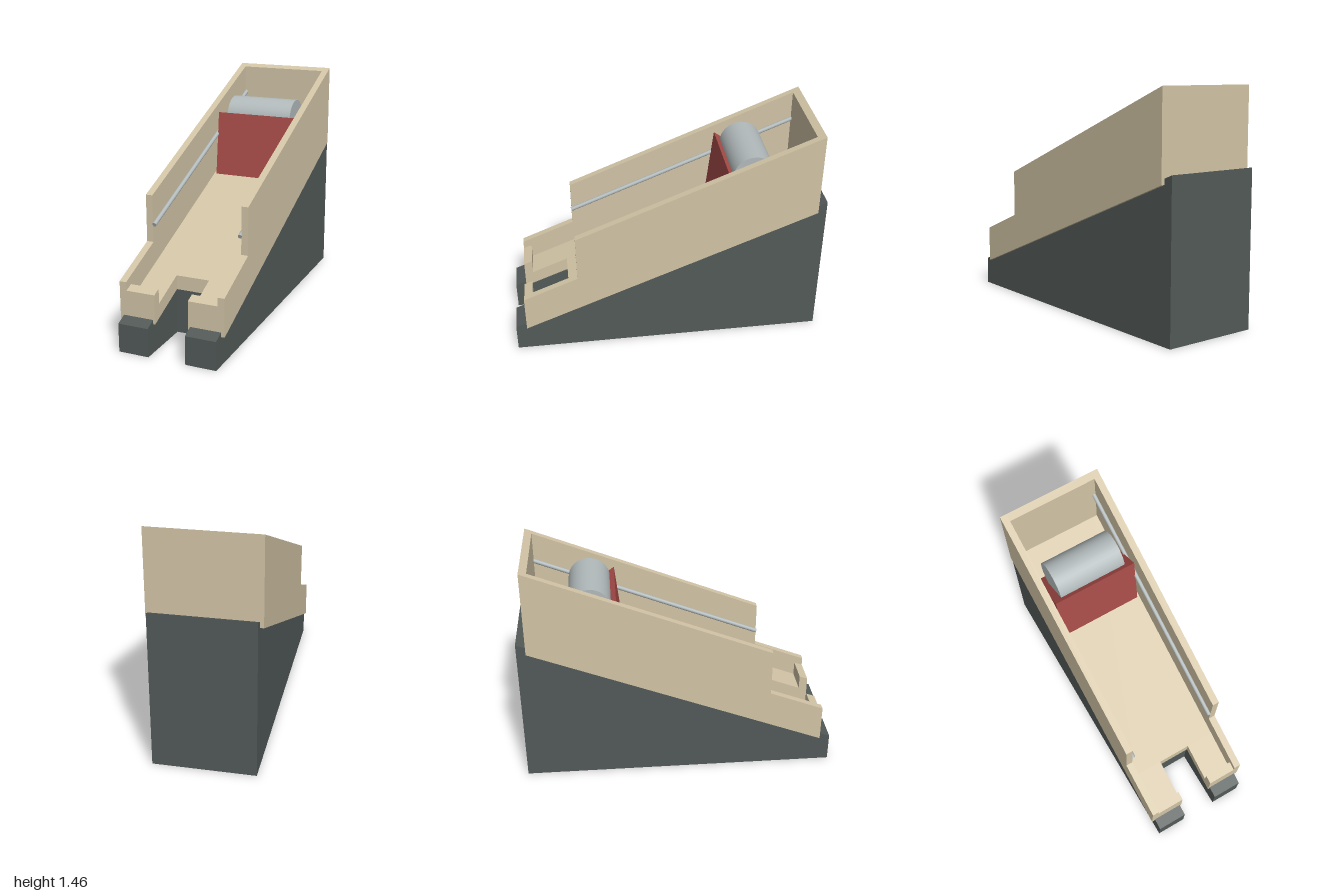
import * as THREE from 'three';

const mat = (name, color) => {
  const m = new THREE.MeshStandardMaterial({ color });
  m.name = name;
  return m;
};

export function createModel() {
  const slate = mat('slate', 0x525a58);
  const sand = mat('sand', 0xd2c4a6);
  const red = mat('red', 0xa94d49);
  const steel = mat('steel', 0xb2babb);

  const model = new THREE.Group();
  model.name = 'slopedChute';

  // Extrudes a side profile of [z, y] points across x0..x1
  function slab(parent, name, material, x0, x1, points) {
    const shape = new THREE.Shape(points.map(([z, y]) => new THREE.Vector2(z, y)));
    const geo = new THREE.ExtrudeGeometry(shape, { depth: x1 - x0, bevelEnabled: false });
    geo.rotateY(-Math.PI / 2).translate(x1, 0, 0);
    const mesh = new THREE.Mesh(geo, material);
    mesh.name = name;
    parent.add(mesh);
  }

  const group = (name) => {
    const g = new THREE.Group();
    g.name = name;
    model.add(g);
    return g;
  };

  // Heights along the slope
  const baseTop = (z) => 0.18 + 0.4 * (1 - z);
  const trayBottom = (z) => 0.18 + 0.396 * (0.93 - z);
  const floorTop = (z) => trayBottom(z) + 0.09;
  const sides = [['right', -1], ['left', 1]];
  const span = (s, a, b) => (s > 0 ? [a, b] : [-b, -a]);

  // Wedge base with a slot at the low end
  const base = group('base');
  const slotZ = 0.62;
  slab(base, 'baseWedge', slate, -0.315, 0.315,
    [[slotZ, 0], [slotZ, baseTop(slotZ)], [-1, baseTop(-1)], [-1, 0]]);
  for (const [side, s] of sides) {
    slab(base, side + 'BaseFoot', slate, ...span(s, 0.12, 0.315),
      [[1, 0], [1, baseTop(1)], [slotZ, baseTop(slotZ)], [slotZ, 0]]);
  }

  // Open tray: floor, back wall, stepped side walls and a split front lip
  const tray = group('tray');
  const front = 0.93, back = -0.94, notch = 0.64, inner = 0.293, outer = 0.337;
  slab(tray, 'trayFloor', sand, -inner, inner, [
    [notch, trayBottom(notch)], [notch, floorTop(notch)],
    [back, floorTop(back)], [back, trayBottom(back)]]);
  slab(tray, 'backWall', sand, -inner, inner, [
    [-0.895, trayBottom(-0.895)], [-0.895, 1.444], [back, 1.462], [back, trayBottom(back)]]);
  for (const [side, s] of sides) {
    slab(tray, side + 'Wall', sand, ...span(s, inner, outer), [
      [front, trayBottom(front)], [front, 0.418], [0.583, 0.556], [0.583, 0.855],
      [back, 1.462], [back, trayBottom(back)]]);
    slab(tray, side + 'FrontLip', sand, ...span(s, 0.108, inner), [
      [front, trayBottom(front)], [front, 0.365], [0.875, 0.386],
      [0.875, floorTop(0.875)], [notch, floorTop(notch)], [notch, trayBottom(notch)]]);
  }

  // Guide rods along the inside of the walls
  const low = new THREE.Vector3(0, 0.668, 0.583);
  const high = new THREE.Vector3(0, 1.26, -0.9);
  const dir = high.clone().sub(low);
  for (const [side, s] of sides) {
    const rod = new THREE.Mesh(new THREE.CylinderGeometry(0.014, 0.014, dir.length(), 16), steel);
    rod.quaternion.setFromUnitVectors(new THREE.Vector3(0, 1, 0), dir.clone().normalize());
    rod.position.copy(low).add(high).multiplyScalar(0.5);
    rod.position.x = s * 0.285;
    rod.name = side + 'GuideRod';
    model.add(rod);
  }

  // Sliding carriage with a roller sunk into its top
  const carriage = group('carriage');
  slab(carriage, 'carriageBlock', red, -0.278, 0.278,
    [[-0.33, 0.757], [-0.38, 1.197], [-0.68, 0.98], [-0.68, 0.89]]);
  const roller = new THREE.Mesh(new THREE.CylinderGeometry(0.133, 0.133, 0.454, 32), steel);
  roller.rotation.z = Math.PI / 2;
  roller.position.set(0, 1.157, -0.542);
  roller.name = 'roller';
  carriage.add(roller);

  return model;
}
